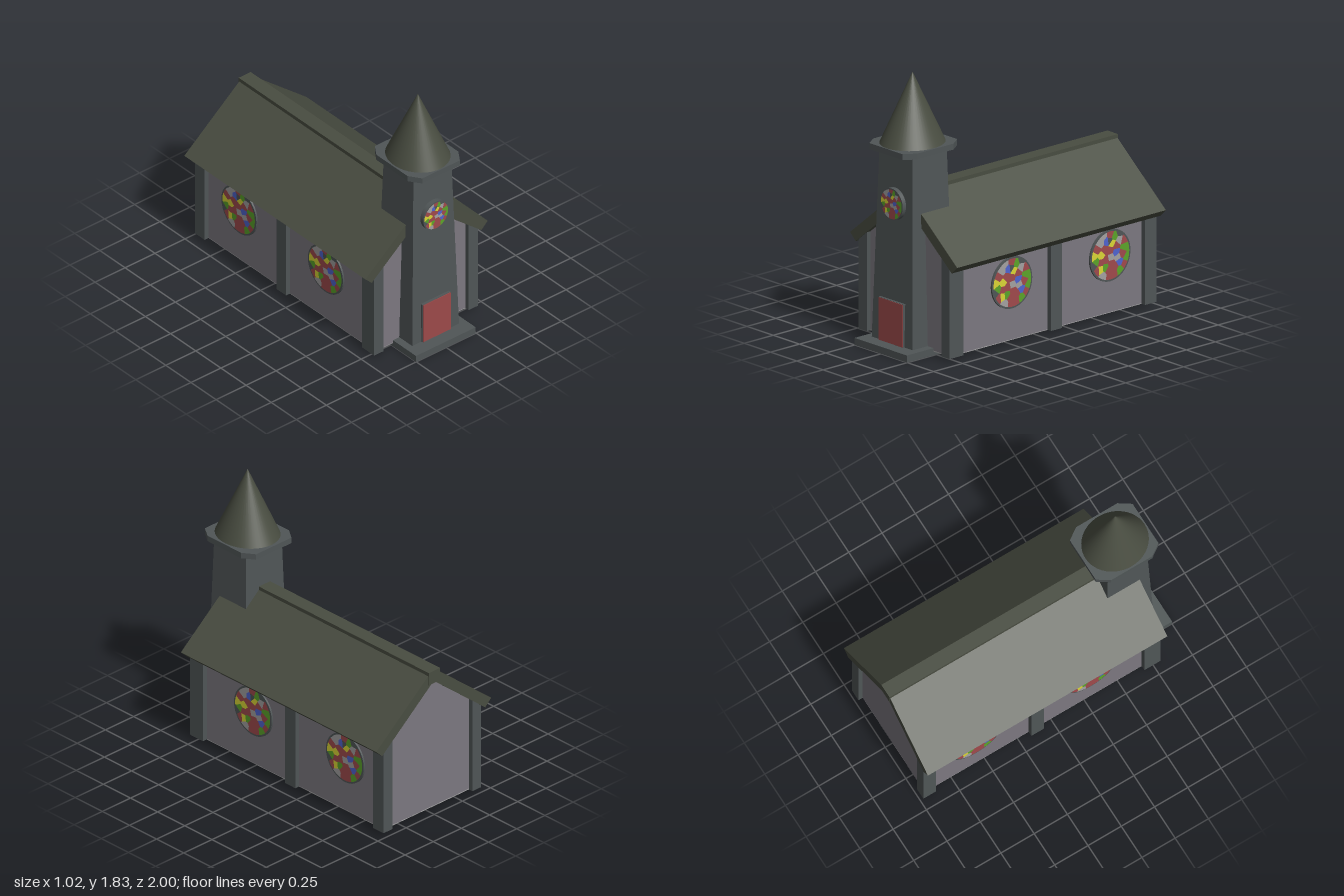
import * as THREE from 'three';

const mat = (name, color) => new THREE.MeshStandardMaterial({ name, color });

export function createModel() {
  const model = new THREE.Group();
  model.name = 'chapel';
  const roofMat = mat('roof green', 0x494d41);
  const stone = mat('dark stone', 0x505657);
  const plaster = mat('plaster', 0x7c7880);
  const doorMat = mat('door red', 0x9c4a4a);
  const floorMat = mat('floor grey', 0xa8a8a8);

  // Stained glass cells: centres on a unit disc, listed by colour
  const glass = [
    { m: mat('glass red', 0xa04a4c), pts: [[-0.25, -0.15], [0.05, -0.35], [-0.5, -0.2], [0.2, -0.75], [-0.05, -0.85],
      [0.72, 0.48], [-0.3, 0.3], [0.3, 0.35], [0.75, -0.5], [-0.72, -0.5], [0, 0.85], [-0.7, 0.35], [0.25, -0.5],
      [0.62, -0.05], [-0.1, -0.6], [0, 0.2]] },
    { m: mat('glass blue', 0x5064d0), pts: [[0.3, 0.07], [-0.2, 0.6], [0.48, -0.35]] },
    { m: mat('glass green', 0x5ca42a), pts: [[0.22, 0.75], [0.75, 0.22], [-0.28, -0.45], [0.5, -0.7], [-0.75, -0.12], [0.88, -0.25]] },
    { m: mat('glass yellow', 0xdcd636), pts: [[-0.85, 0.12], [0.1, 0.48], [-0.52, -0.48], [-0.5, 0.08]] },
    { m: mat('glass grey', 0xa4a2a2), pts: [[-0.52, 0.6], [0.48, 0.55], [0.4, -0.15], [-0.4, -0.8], [-0.4, 0.85], [0.03, -0.08]] },
    { m: stone, pts: [[-0.9, -0.3], [0.5, 0.85], [-0.05, 0.62]] },
  ];
  const seeds = glass.flatMap(g => g.pts);

  function add(parent, name, geo, m, x = 0, y = 0, z = 0) {
    const mesh = new THREE.Mesh(geo, m);
    mesh.name = name;
    mesh.position.set(x, y, z);
    parent.add(mesh);
    return mesh;
  }
  // Box given by its limits
  const block = (name, m, x0, x1, y0, y1, z0, z1) => add(model, name,
    new THREE.BoxGeometry(x1 - x0, y1 - y0, z1 - z0), m, (x0 + x1) / 2, (y0 + y1) / 2, (z0 + z1) / 2);
  const outline = pts => new THREE.Shape(pts.map(p => new THREE.Vector2(p[0], p[1])));
  const extrude = (pts, depth) => new THREE.ExtrudeGeometry(outline(pts), { depth, bevelEnabled: false });

  // Cell around a seed: the disc cut by the halfway line to every other seed
  function cell(s, radius) {
    let poly = Array.from({ length: 48 }, (_, i) =>
      [Math.cos(i * Math.PI / 24), Math.sin(i * Math.PI / 24)]);
    for (const o of seeds) {
      if (o === s) continue;
      const side = p => (p[0] - (s[0] + o[0]) / 2) * (o[0] - s[0]) + (p[1] - (s[1] + o[1]) / 2) * (o[1] - s[1]);
      const next = [];
      poly.forEach((a, i) => {
        const b = poly[(i + 1) % poly.length], da = side(a), db = side(b);
        if (da <= 0) next.push(a);
        if (da * db < 0) {
          const t = da / (da - db);
          next.push([a[0] + (b[0] - a[0]) * t, a[1] + (b[1] - a[1]) * t]);
        }
      });
      poly = next;
    }
    return outline(poly.map(p => [p[0] * radius, p[1] * radius]));
  }

  // Round window facing +z, with its back at z = 0
  function roundWindow(name, radius, depth) {
    const group = new THREE.Group();
    group.name = name;
    const frame = new THREE.CylinderGeometry(radius, radius, depth, 48).rotateX(Math.PI / 2);
    add(group, 'windowFrame', frame, stone, 0, 0, depth / 2);
    for (const g of glass) {
      const geo = new THREE.ShapeGeometry(g.pts.map(s => cell(s, radius * 0.93)));
      add(group, 'stainedGlass', geo, g.m, 0, 0, depth + 0.002);
    }
    model.add(group);
    return group;
  }

  // Nave walls with gables, and the floor underneath
  add(model, 'naveWalls', extrude(
    [[-0.4, 0.028], [0.4, 0.028], [0.4, 0.66], [0, 0.985], [-0.4, 0.66]], 1.72), plaster, 0, 0, -0.95);
  block('floor', floorMat, -0.4, 0.4, 0.024, 0.03, -0.95, 0.77);

  // Roof slabs and ridge
  add(model, 'roof', extrude([[0.51, 0.655], [0.05, 1.03], [-0.05, 1.03], [-0.51, 0.655],
    [-0.457, 0.605], [0, 0.978], [0.457, 0.605]], 1.8), roofMat, 0, 0, -0.995);
  block('ridgeCap', roofMat, -0.052, 0.048, 0.965, 1.055, -1, 0.6);

  // Buttresses with tops sloped under the roof, and side windows
  for (const s of [-1, 1]) {
    const buttress = [[0.355, 0.024], [0.433, 0.024], [0.433, 0.645], [0.355, 0.708]].map(([x, y]) => [s * x, y]);
    for (const [z0, z1] of [[0.68, 0.8], [-0.17, -0.075], [-0.982, -0.885]]) {
      add(model, 'buttress', extrude(buttress, z1 - z0), stone, 0, 0, z0);
    }
    for (const z of s > 0 ? [0.243, -0.604] : [0.29, -0.57]) {
      const w = roundWindow('sideWindow', 0.174, 0.03);
      w.position.set(s * 0.382, 0.413, z);
      w.rotation.y = s * Math.PI / 2;
    }
  }

  // Tapered tower on a doorstep
  block('doorstep', stone, -0.252, 0.246, 0, 0.047, 0.54, 1);
  const tower = new THREE.BoxGeometry(1, 1.29, 1);
  const p = tower.attributes.position;
  for (let i = 0; i < p.count; i++) {
    const top = p.getY(i) > 0;
    p.setX(i, p.getX(i) * (top ? 0.316 : 0.39));
    p.setZ(i, p.getZ(i) * (top ? 0.294 : 0.36));
  }
  tower.computeVertexNormals();
  add(model, 'tower', tower, stone, -0.004, 0.69, 0.72);

  // Tower cap with cut corners, and spire
  const corner = [[0.212, -0.155], [0.212, 0.155], [0.157, 0.236], [-0.157, 0.236],
    [-0.212, 0.155], [-0.212, -0.155], [-0.157, -0.236], [0.157, -0.236]];
  add(model, 'towerCap', extrude(corner, 0.04).rotateX(-Math.PI / 2), stone, -0.004, 1.326, 0.718);
  const spire = add(model, 'spire', new THREE.ConeGeometry(1, 0.468, 48), roofMat, -0.005, 1.6, 0.724);
  spire.scale.set(0.2, 1, 0.222);

  // Stone door surround with a red panel, and front window
  block('doorSurround', stone, -0.122, 0.112, 0.047, 0.336, 0.86, 0.911);
  block('doorPanel', doorMat, -0.12, 0.11, 0.049, 0.334, 0.911, 0.915);
  roundWindow('frontWindow', 0.106, 0.035).position.set(-0.005, 0.982, 0.87);

  return model;
}
